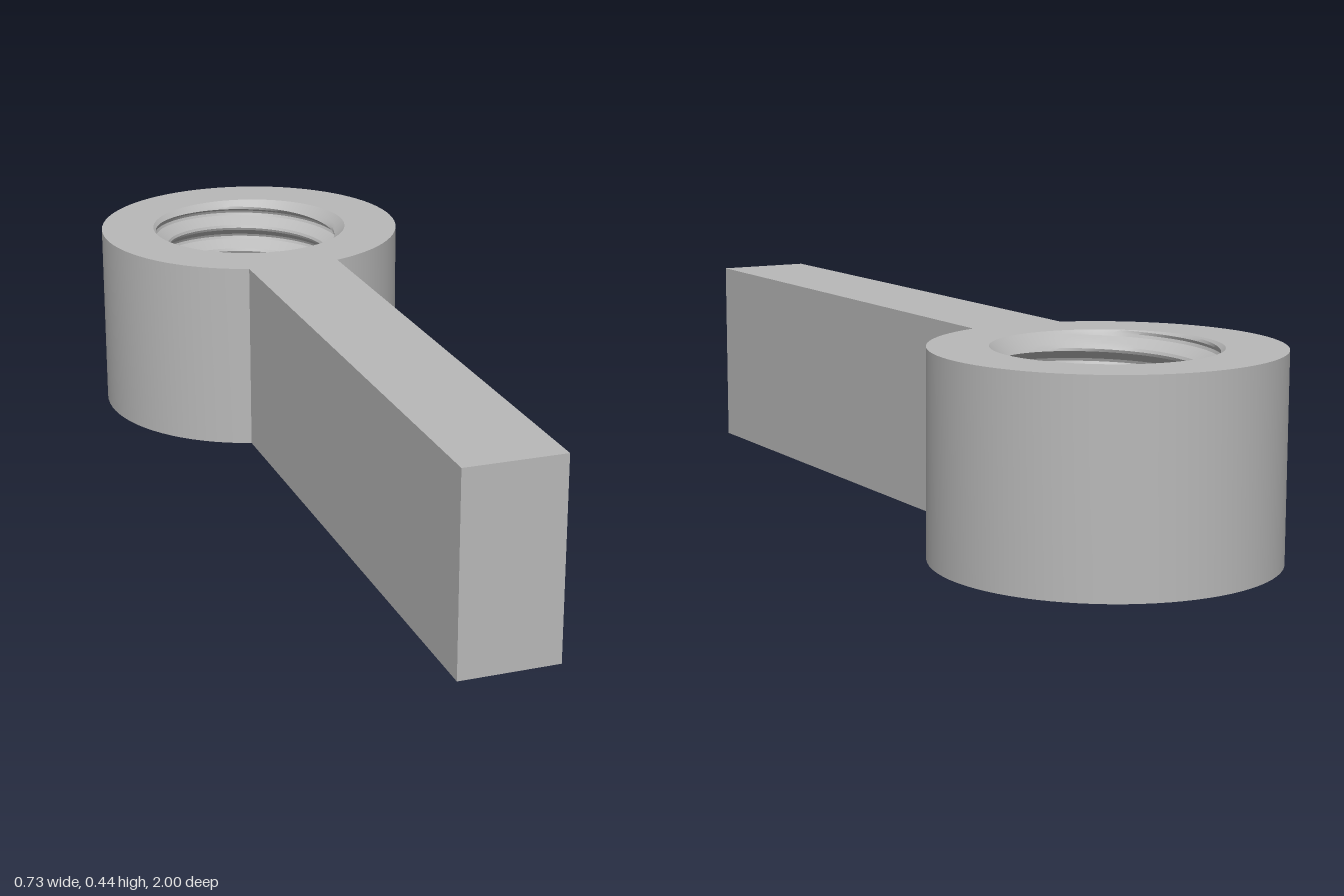
import * as THREE from 'three';
import { toCreasedNormals } from 'three/addons/utils/BufferGeometryUtils.js';

const H = 0.437;          // height of the whole part
const OUTER = 0.364;      // ring radius
const MAJOR = 0.237;      // thread root and mouth of the hole
const MINOR = 0.2;        // thread crest
const PITCH = 0.0624;
const CENTER = -0.636;    // z of the ring axis
const HALF_WIDTH = 0.109; // half the handle width

// Thread radius over one turn: flat crest, slope, flat root, slope
function threadRadius(t) {
  const tri = Math.abs(2 * (t - Math.floor(t)) - 1);
  return THREE.MathUtils.lerp(MINOR, MAJOR - 0.003, THREE.MathUtils.clamp(tri * 1.4 - 0.2, 0, 1));
}

// Rows follow the helix and are clipped to the height; both mouths are chamfered
function threadGeometry(segments = 80, perTurn = 10) {
  const positions = [], indices = [];
  const rows = (Math.ceil(H / PITCH) + 1) * perTurn;
  for (let i = 0; i <= segments; i++) {
    const turn = i / segments, a = turn * Math.PI * 2;
    for (let j = 0; j <= rows; j++) {
      const t = j / perTurn - 1;
      const y = THREE.MathUtils.clamp((t + turn) * PITCH, 0, H);
      const chamfer = MAJOR - Math.min(y, H - y);
      const r = Math.max(threadRadius(t), chamfer);
      const mouth = y === 0 || y === H;
      const radius = mouth ? MAJOR : r;
      positions.push(Math.sin(a) * radius, y, Math.cos(a) * radius);
      if (i < segments && j < rows) {
        const p = i * (rows + 1) + j, q = p + rows + 1;
        indices.push(p, p + 1, q, q, p + 1, q + 1);
      }
    }
  }
  const g = new THREE.BufferGeometry();
  g.setAttribute('position', new THREE.Float32BufferAttribute(positions, 3));
  g.setIndex(indices);
  return toCreasedNormals(g, 0.4);
}

export function createModel() {
  const model = new THREE.Group();
  model.name = 'threadedWrench';
  const steel = new THREE.MeshStandardMaterial({ color: 0xb8b8b8 });
  steel.name = 'steelGrey';

  function add(name, geometry, y, z) {
    const mesh = new THREE.Mesh(geometry, steel);
    mesh.name = name;
    mesh.position.set(0, y, z);
    model.add(mesh);
  }

  // Ring: bottom face, outer wall and top face
  const profile = [[MAJOR, 0], [OUTER, 0], [OUTER, H], [MAJOR, H]].map(([x, y]) => new THREE.Vector2(x, y));
  add('ring', toCreasedNormals(new THREE.LatheGeometry(profile, 80), 0.5), 0, CENTER);

  // Threaded bore
  add('threadedBore', threadGeometry(), 0, CENTER);

  // Handle, starting where its sides meet the ring
  const start = CENTER + Math.sqrt(OUTER ** 2 - HALF_WIDTH ** 2);
  add('handle', new THREE.BoxGeometry(HALF_WIDTH * 2, H, 1 - start), H / 2, (1 + start) / 2);

  return model;
}
